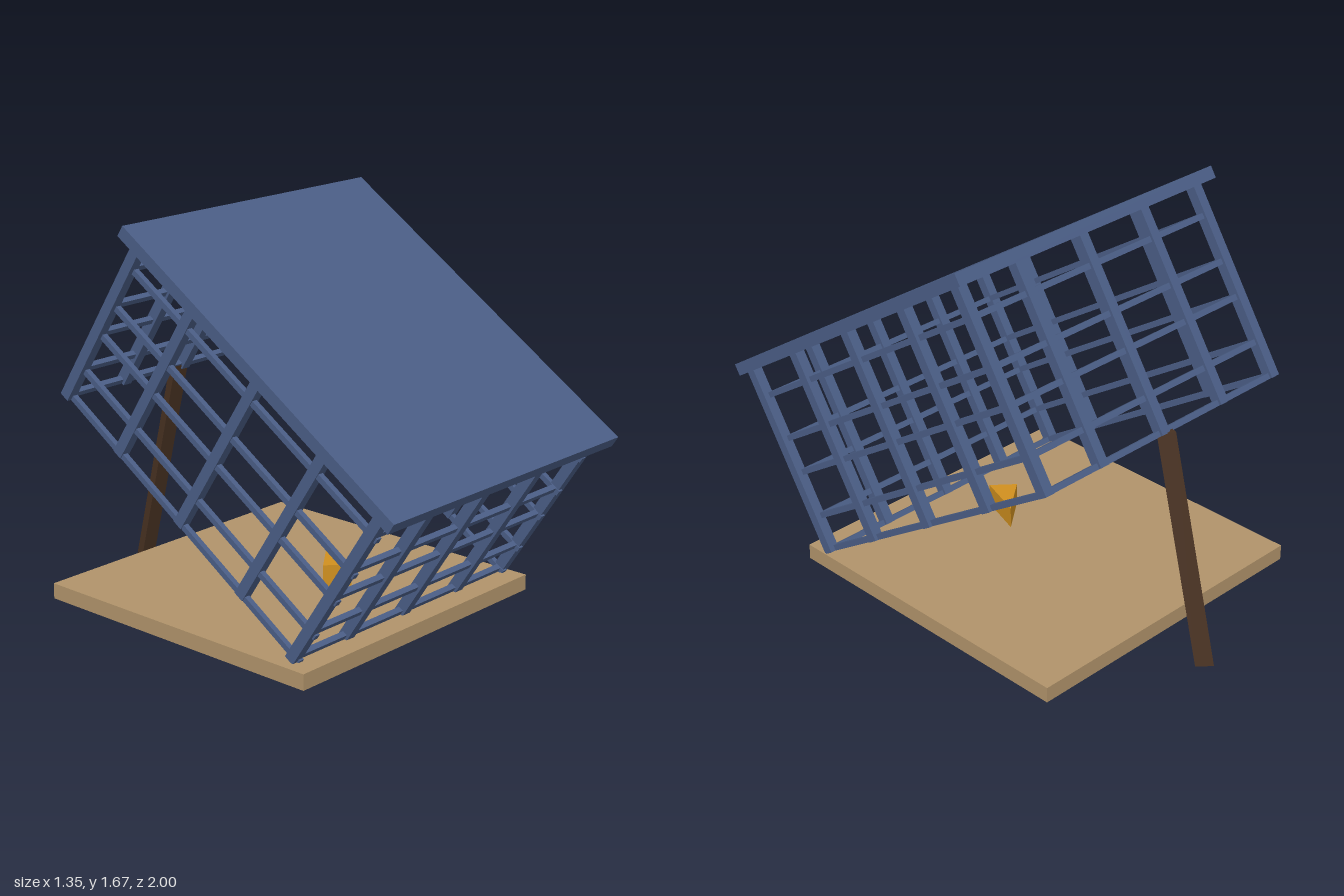
import * as THREE from 'three';

const mat = (color) => new THREE.MeshStandardMaterial({ color, flatShading: true });

export function createModel() {
  const model = new THREE.Group();
  model.name = 'propTrap';
  const blue = mat(0x4a5d85);
  const tan = mat(0xb0936a);
  const brown = mat(0x4a3323);
  const orange = mat(0xd0901f);

  const add = (parent, name, geometry, material, x, y, z) => {
    const mesh = new THREE.Mesh(geometry, material);
    mesh.name = name;
    mesh.position.set(x, y, z);
    parent.add(mesh);
    return mesh;
  };
  const box = (parent, name, material, [w, h, d], [x, y, z]) =>
    add(parent, name, new THREE.BoxGeometry(w, h, d), material, x, y, z);

  // Base board
  box(model, 'base', tan, [1.35, 0.065, 1.355], [0, 0.1225, -0.0925]);

  // Tilted cage: its origin is the front top edge of the roof, running to -z
  const cage = new THREE.Group();
  cage.name = 'cage';
  cage.position.set(0, 0.827, 1);
  cage.rotation.x = THREE.MathUtils.degToRad(33.03);
  model.add(cage);
  box(cage, 'roof', blue, [1.35, 0.05, 1.565], [0, -0.025, -0.7825]);

  // Upright posts
  const front = -0.08, back = -1.5, bottom = -0.845;
  const postHeight = -0.04 - bottom;
  const post = (name, x, z) =>
    box(cage, name, blue, [0.042, postHeight, 0.045], [x, bottom + postHeight / 2, z]);
  for (const x of [-0.31, 0.02, 0.35]) {
    post('frontPost', x, front);
    post('backPost', x, back);
  }
  post('cornerPost', -0.61, front);
  post('cornerPost', 0.648, front);
  post('cornerPost', -0.61, back);
  post('cornerPost', 0.63, back);
  for (const z of [-0.4, -0.78, -1.168]) {
    post('leftPost', 0.64, z);
    post('rightPost', -0.595, z);
  }

  // Thin horizontal rails around all four walls
  const bar = 0.023;
  for (const y of [-0.166, -0.355, -0.5025, -0.692, -0.834]) {
    box(cage, 'frontRail', blue, [1.245, bar, bar], [0.022, y, front]);
    box(cage, 'backRail', blue, [1.245, bar, bar], [0.022, y, back]);
    for (const x of [-0.6, 0.635])
      box(cage, 'sideRail', blue, [bar, bar, 1.46], [x, y, -0.78]);
  }

  // Three-sided prop stick with its ridge to the back
  const stick = new THREE.CylinderGeometry(0.043, 0.043, 0.965, 3).rotateY(Math.PI);
  add(model, 'propStick', stick, brown, -0.002, 0.479, -0.839).rotation.x = 0.246;

  // Wedge of bait: plan drawn as (x, -z), extruded upward
  const plan = new THREE.Shape([[0.065, -0.04], [-0.085, -0.156], [0, -0.23]]
    .map(([x, y]) => new THREE.Vector2(x, y)));
  const bait = new THREE.ExtrudeGeometry(plan, { depth: 0.09, bevelEnabled: false }).rotateX(-Math.PI / 2);
  add(model, 'bait', bait, orange, 0, 0.21, 0);

  return model;
}
